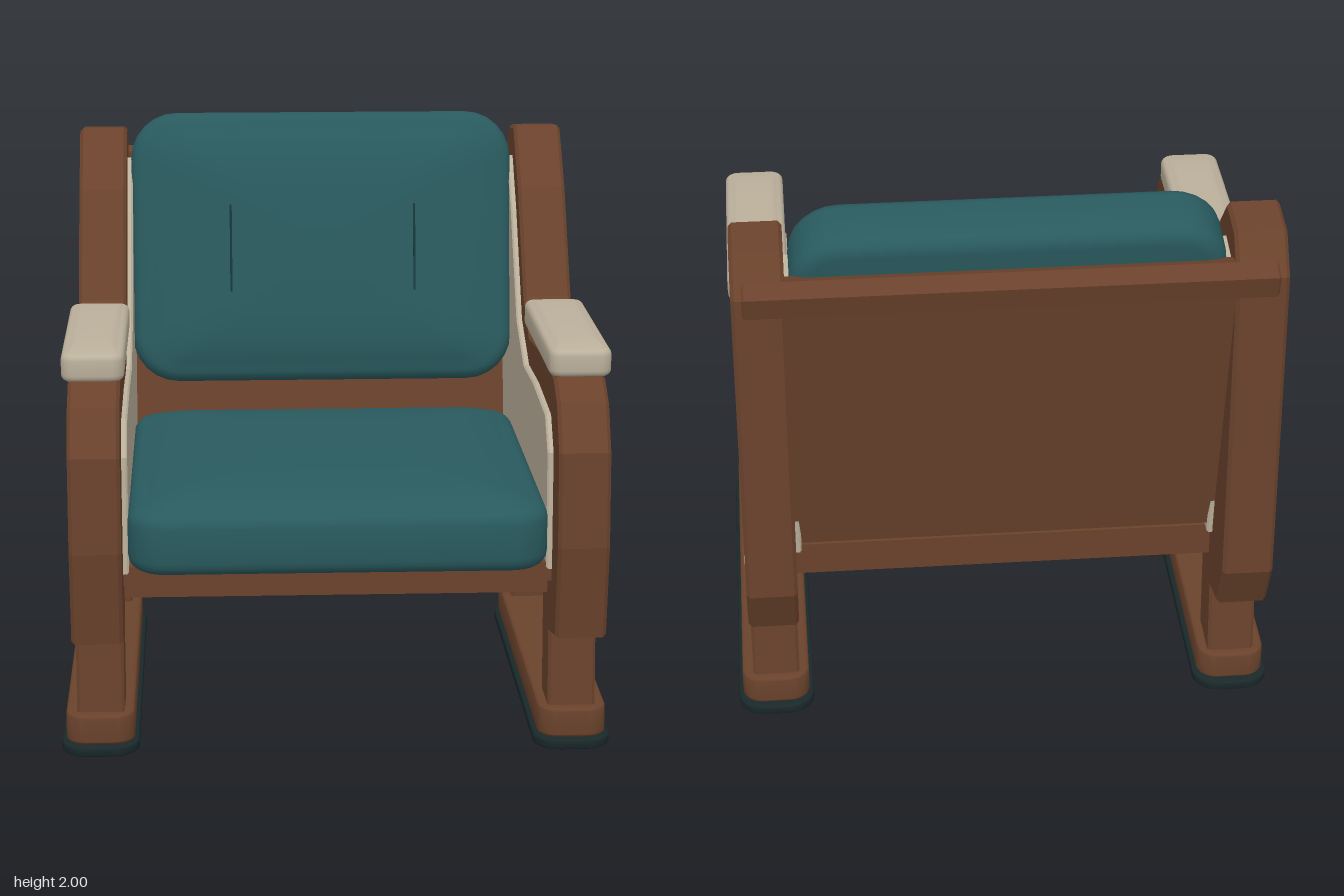
import * as THREE from 'three';
import { toCreasedNormals } from 'three/addons/utils/BufferGeometryUtils.js';

const paint = (name, color) => {
  const m = new THREE.MeshStandardMaterial({ color });
  m.name = name;
  return m;
};

export function createModel() {
  const wood = paint('brown wood', 0x6a422c);
  const teal = paint('teal upholstery', 0x295a5e);
  const seam = paint('dark teal seam', 0x16373a);
  const cream = paint('cream trim', 0xbbb09b);
  const rubber = paint('dark rubber', 0x1a2829);
  const chair = new THREE.Group();
  chair.name = 'armchair';

  const add = (name, geometry, material, x = 0, y = 0, z = 0, parent = chair) => {
    const mesh = new THREE.Mesh(geometry, material);
    mesh.name = name;
    mesh.position.set(x, y, z);
    parent.add(mesh);
    return mesh;
  };

  // Profile of [z, y] points, extruded from x0 to x1 with chamfered edges
  const slab = (profile, x0, x1, bevel) => {
    const shape = new THREE.Shape(profile.map(([z, y]) => new THREE.Vector2(z, y)));
    const g = new THREE.ExtrudeGeometry(shape, {
      depth: x1 - x0 - 2 * bevel, bevelThickness: bevel, bevelSize: bevel,
      bevelOffset: -bevel, bevelSegments: 1,
    });
    return g.rotateY(-Math.PI / 2).translate(x1 - bevel, 0, 0);
  };

  // Rounded-rectangle pad: softened edges, optional plump top
  const pad = (w, d, h, r, edge, crown = 0, crease = 0.6) => {
    const levels = [[0, 0, 0], [1, edge, 0]];
    const steps = 4;
    for (let i = 1; i <= steps; i++) {
      const a = (i / steps) * Math.PI / 2;
      levels.push([1, edge * (1 - Math.sin(a)), edge * (1 - Math.cos(a))]);
    }
    for (let i = 0; i <= steps; i++) {
      const a = (i / steps) * Math.PI / 2;
      levels.push([1, edge * (1 - Math.cos(a)), h - edge * (1 - Math.sin(a))]);
    }
    for (const s of [0.95, 0.88, 0.75, 0.5, 0]) levels.push([s, edge, h + crown * (1 - s ** 5)]);

    const arc = 6, n = 4 * (arc + 1), pos = [], index = [];
    for (const [s, inset, y] of levels) {
      const rr = Math.max(r - inset, 0.004);
      for (let q = 0; q < 4; q++) {
        const sx = q === 0 || q === 3 ? 1 : -1, sz = q < 2 ? 1 : -1;
        for (let k = 0; k <= arc; k++) {
          const a = (q + k / arc) * Math.PI / 2;
          pos.push(s * (sx * (w / 2 - inset - rr) + rr * Math.cos(a)), y,
            s * (sz * (d / 2 - inset - rr) + rr * Math.sin(a)));
        }
      }
    }
    for (let j = 0; j < levels.length - 1; j++) {
      for (let i = 0; i < n; i++) {
        const a = j * n + i, b = j * n + (i + 1) % n;
        index.push(a, a + n, b + n, a, b + n, b);
      }
    }
    const g = new THREE.BufferGeometry();
    g.setAttribute('position', new THREE.Float32BufferAttribute(pos, 3));
    g.setIndex(index);
    return toCreasedNormals(g, crease);
  };

  const sideProfile = [
    [0.60, 0.548], [0.70, 0.41], [0.89, 0.455], [0.93, 0.78], [0.905, 1.10], [0.82, 1.25],
    [0.71, 1.315], [0.30, 1.315], [-0.02, 1.28], [-0.21, 1.385], [-0.45, 1.745], [-0.64, 1.945],
    [-0.80, 1.925], [-0.895, 1.80], [-0.915, 0.65], [-0.83, 0.465], [-0.63, 0.415], [-0.53, 0.548],
  ];
  const liningProfile = [
    [0.77, 0.66], [0.75, 1.06], [0.66, 1.17], [0.30, 1.19], [0.00, 1.18], [-0.25, 1.29],
    [-0.50, 1.65], [-0.66, 1.83], [-0.82, 1.80], [-0.68, 0.66],
  ];
  const frontLeg = [[0.505, 0.13], [0.69, 0.13], [0.65, 0.60], [0.475, 0.60]];
  const backLeg = [[-0.68, 0.13], [-0.495, 0.13], [-0.46, 0.60], [-0.64, 0.60]];

  // Mirrored sides
  for (const s of [1, -1]) {
    const side = s > 0 ? 'left' : 'right';
    const span = (a, b) => (s > 0 ? [a, b] : [-b, -a]);
    add(`${side}SidePanel`, slab(sideProfile, ...span(0.722, 0.895), 0.012), wood);
    add(`${side}InnerLining`, slab(liningProfile, ...span(0.702, 0.728), 0.006), cream);
    add(`${side}FrontLeg`, slab(frontLeg, ...span(0.728, 0.891), 0.01), wood);
    add(`${side}BackLeg`, slab(backLeg, ...span(0.728, 0.891), 0.01), wood);
    add(`${side}Armrest`, pad(0.21, 0.81, 0.095, 0.045, 0.022, 0.016), cream, s * 0.813, 1.31, 0.317);
    add(`${side}Runner`, pad(0.235, 1.44, 0.105, 0.07, 0.012), wood, s * 0.812, 0.035, 0.01);
    add(`${side}RubberFoot`, pad(0.265, 1.49, 0.036, 0.09, 0.008), rubber, s * 0.812, 0, 0.01);
    for (const z of [0.61, -0.59]) {
      const bolt = new THREE.CylinderGeometry(0.016, 0.016, 0.02, 8).rotateZ(Math.PI / 2);
      add(`${side}Bolt`, bolt, cream, s * 0.893, 0.575, z);
    }
    add(`${side}SeatRail`, new THREE.BoxGeometry(0.08, 0.08, 1.16), wood, s * 0.69, 0.582, 0.01);
  }

  // Seat frame
  add('seatBoard', new THREE.BoxGeometry(1.46, 0.065, 1.36), wood, 0, 0.648, 0.08);
  add('frontRail', new THREE.BoxGeometry(1.46, 0.08, 0.09), wood, 0, 0.58, 0.61);
  add('backRail', new THREE.BoxGeometry(1.46, 0.12, 0.09), wood, 0, 0.60, -0.59);

  // Sloping back panel and slim top rail
  const tilt = 0.205;
  add('backPanel', new THREE.BoxGeometry(1.46, 1.12, 0.04), wood, 0, 1.25, -0.77).rotation.x = -tilt;
  add('topRail', slab([[-0.80, 1.75], [-0.80, 1.83], [-0.86, 1.845], [-0.93, 1.82], [-0.91, 1.74]],
    -0.86, 0.86, 0.008), wood);

  // Cushions
  add('seatCushion', pad(1.41, 1.40, 0.215, 0.13, 0.05, 0.06, 1), teal, 0, 0.68, 0.185);
  const back = new THREE.Group();
  back.name = 'backCushion';
  back.position.set(0, 1.468, -0.748);
  back.rotation.x = Math.PI / 2 - tilt;
  chair.add(back);
  add('backPad', pad(1.415, 1.0, 0.24, 0.17, 0.055, 0.05, 1), teal, 0, 0, 0, back);
  for (const x of [-0.34, 0.34]) {
    add('stitchLine', new THREE.BoxGeometry(0.008, 0.009, 0.32), seam, x, 0.287, 0.005, back);
  }
  return chair;
}
